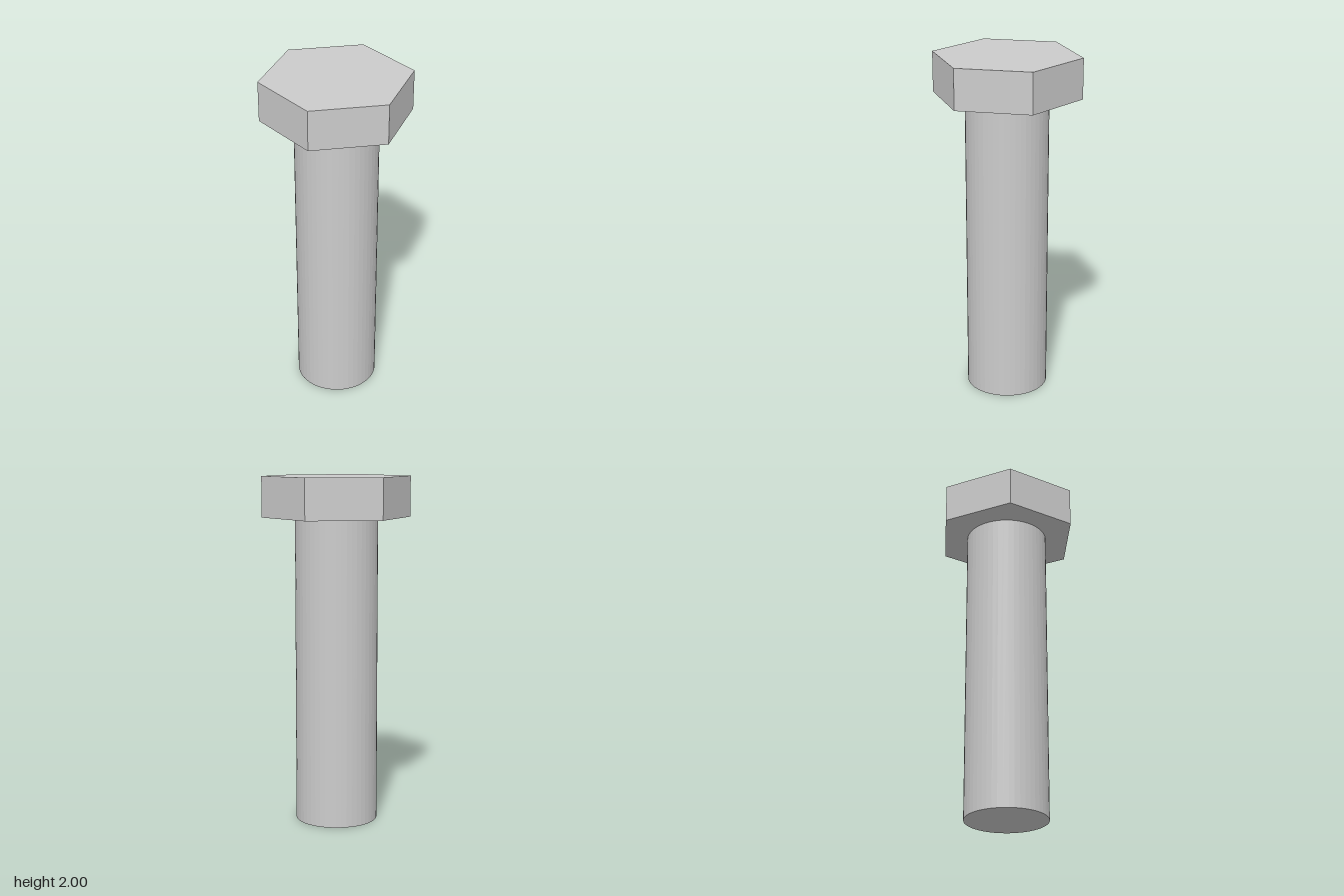
import * as THREE from 'three';

const HEAD_RADIUS = 0.427; // centre to corner
const SHANK_RADIUS = 0.237;
const HEAD_BOTTOM = 1.767;
const TOP = 2;

export function createModel() {
  const bolt = new THREE.Group();
  bolt.name = 'hexBolt';
  const material = new THREE.MeshStandardMaterial({ color: 0xcccccc, flatShading: true });

  // Upright prism between two heights, first corner on the x axis
  const addPrism = (name, radius, bottom, top, sides) => {
    const geometry = new THREE.CylinderGeometry(
      radius, radius, top - bottom, sides, 1, false, Math.PI / 2);
    const mesh = new THREE.Mesh(geometry, material);
    mesh.name = name;
    mesh.position.y = (bottom + top) / 2;
    bolt.add(mesh);
  };

  // Plain round shank
  addPrism('shank', SHANK_RADIUS, 0, HEAD_BOTTOM, 48);
  // Hexagonal head with corners to left and right
  addPrism('head', HEAD_RADIUS, HEAD_BOTTOM, TOP, 6);

  return bolt;
}
